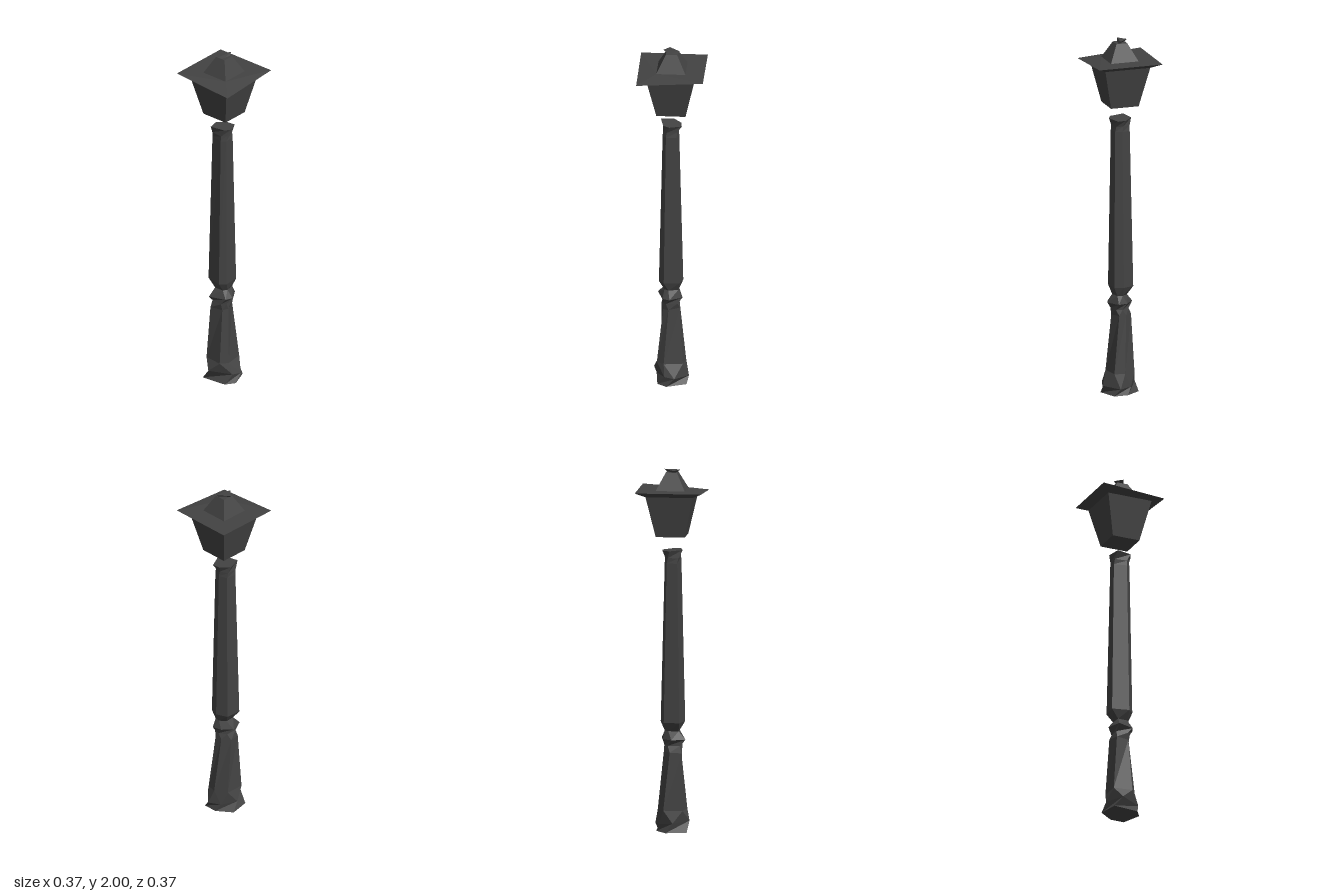
import * as THREE from 'three';

const iron = new THREE.MeshStandardMaterial({ color: 0x434343, flatShading: true });
iron.name = 'dark iron';

// Joins rings of [x, y, z] corners, listed bottom to top and front-right-back-left.
// flip(level, side) turns the diagonal of a quad.
function loft(name, rings, { bottom = true, top = true, flip = () => false } = {}) {
  const out = [];
  const tri = (a, b, c) => out.push(...a, ...b, ...c);
  const n = rings[0].length;
  for (let r = 0; r < rings.length - 1; r++) {
    for (let i = 0; i < n; i++) {
      const j = (i + 1) % n;
      const a = rings[r][i], b = rings[r][j], c = rings[r + 1][j], d = rings[r + 1][i];
      if (flip(r, i)) { tri(a, b, d); tri(b, c, d); } else { tri(a, b, c); tri(a, c, d); }
    }
  }
  const low = rings[0], high = rings[rings.length - 1];
  for (let i = 1; i < n - 1; i++) {
    if (bottom) tri(low[0], low[i + 1], low[i]);
    if (top) tri(high[0], high[i], high[i + 1]);
  }
  const geo = new THREE.BufferGeometry();
  geo.setAttribute('position', new THREE.Float32BufferAttribute(out, 3));
  geo.computeVertexNormals();
  const mesh = new THREE.Mesh(geo, iron);
  mesh.name = name;
  return mesh;
}

// Square ring of half width h
const square = (h, y) => [[-h, y, h], [h, y, h], [h, y, -h], [-h, y, -h]];

// Uneven hexagon, twisted, then fitted to its x and z limits; tilt slopes the ring
const outline = [[-0.055, 0.035], [0.02, 0.05], [0.045, 0.03], [0.04, -0.03], [0, -0.042], [-0.05, -0.025]];
function hewnRing([y, x0, x1, z0, z1, twist = 0, tilt = 0]) {
  const c = Math.cos(twist), s = Math.sin(twist);
  const pts = outline.map(([x, z]) => [x * c + z * s, z * c - x * s]);
  const fit = (k, lo, hi) => {
    const v = pts.map((p) => p[k]);
    const min = Math.min(...v), max = Math.max(...v);
    return v.map((q) => lo + ((q - min) / (max - min)) * (hi - lo));
  };
  const xs = fit(0, x0, x1), zs = fit(1, z0, z1);
  return pts.map((_, i) => [xs[i], y + tilt * zs[i], zs[i]]);
}

export function createModel() {
  const model = new THREE.Group();
  model.name = 'streetLamp';

  // Rough-hewn post: y, x limits, z limits, twist, tilt
  const foot = [
    [0, -0.1, 0.105, -0.085, 0.09, 0.3],
    [0.05, -0.09, 0.105, -0.095, 0.1, 0.7, 0.12],
    [0.12, -0.07, 0.07, -0.078, 0.08, 0.1],
  ];
  const lowerPost = [
    foot[2],
    [0.44, -0.062, 0.045, -0.045, 0.06, 0.35, -0.08],
  ];
  const collar = [
    lowerPost[1],
    [0.475, -0.043, 0.045, -0.042, 0.055, 0.1],
    [0.51, -0.072, 0.07, -0.06, 0.08, 0.5],
    [0.555, -0.035, 0.04, -0.04, 0.04, 0.2],
    [0.605, -0.07, 0.055, -0.062, 0.07, 0],
  ];
  const shaft = [
    collar[4],
    [1.485, -0.053, 0.043, -0.04, 0.05, 0],
  ];
  const head = [
    shaft[1],
    [1.515, -0.05, 0.042, -0.038, 0.048, 0.1],
    [1.555, -0.062, 0.06, -0.056, 0.064, 0.4, 0.08],
  ];
  const post = new THREE.Group();
  post.name = 'post';
  const sections = { foot, lowerPost, collar, shaft, head };
  for (const [name, rows] of Object.entries(sections)) {
    post.add(loft(name, rows.map(hewnRing), { bottom: name === 'foot', top: name === 'head' }));
  }

  // Lantern floating above the post
  const lantern = new THREE.Group();
  lantern.name = 'lantern';
  const body = loft('lanternBody', [square(0.08, 1.635), square(0.13, 1.862)], { top: false });

  // Wide brim with one drooping corner
  const edge = square(0.183, 1.89);
  edge[1][1] = 1.864;
  const brim = loft('brim', [square(0.13, 1.862), edge, square(0.08, 1.89)],
    { bottom: false, top: false, flip: (r, i) => r === 1 && i === 1 });

  const cap = loft('roofCap', [square(0.08, 1.89), square(0.031, 1.985)], { bottom: false });

  // Small crooked finial
  const finial = loft('finial', [
    [[-0.022, 1.98, 0.01], [0.012, 1.98, 0.022], [0.02, 1.98, -0.022]],
    [[-0.045, 1.996, 0.015], [0, 2, 0.047], [0.013, 2, -0.044]],
  ]);
  lantern.add(body, brim, cap, finial);

  model.add(post, lantern);
  return model;
}
